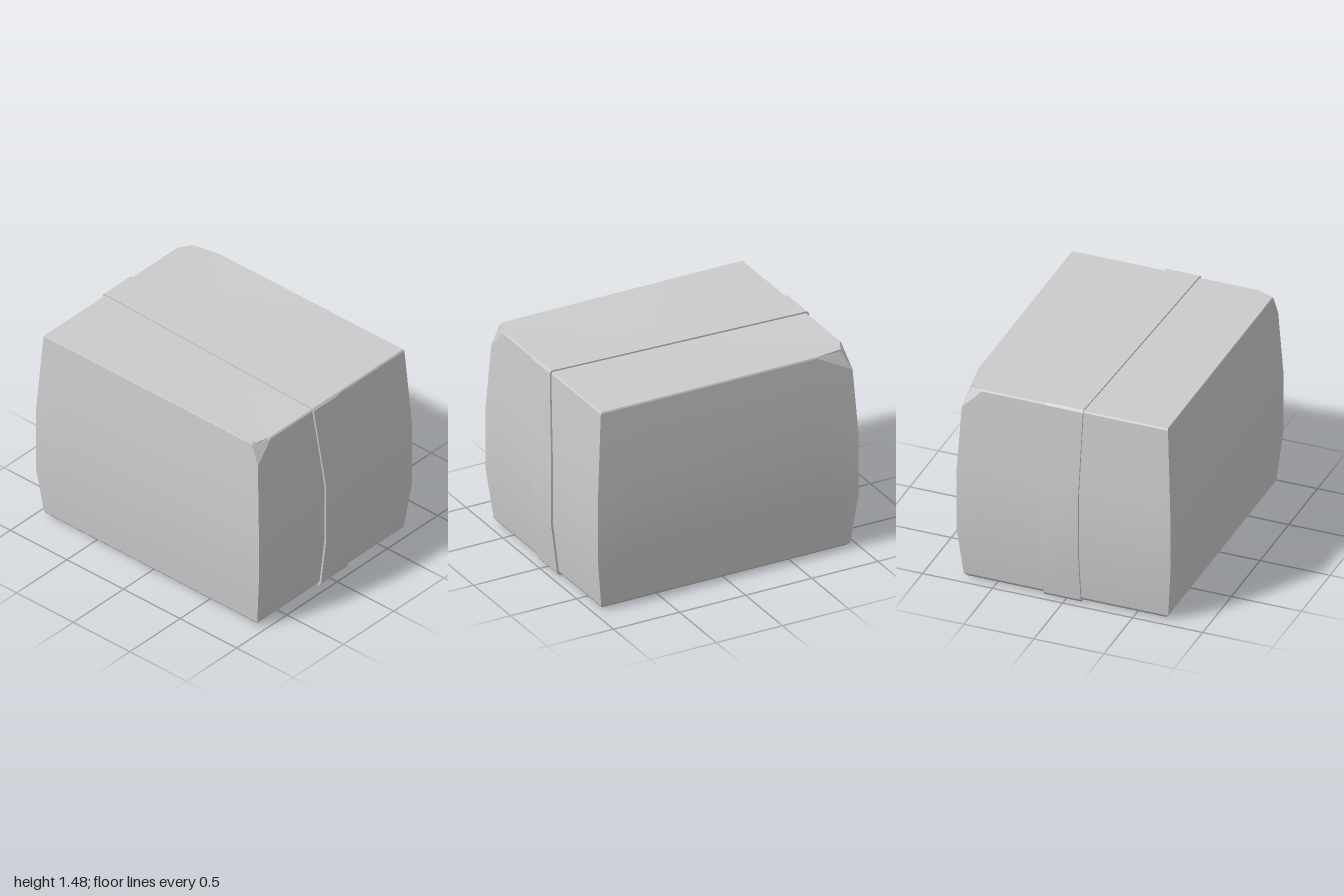
import * as THREE from 'three';
import { toCreasedNormals } from 'three/addons/utils/BufferGeometryUtils.js';

const mat = new THREE.MeshStandardMaterial({ color: 0xcccccc });

// Builds a sharp-edged mesh from a list of triangle corners
function meshFromTriangles(name, points) {
  const geo = new THREE.BufferGeometry();
  geo.setAttribute('position', new THREE.Float32BufferAttribute(points.flat(), 3));
  const mesh = new THREE.Mesh(toCreasedNormals(geo, 0.25), mat);
  mesh.name = name;
  return mesh;
}

// Bulging box with two crushed top corners
function buildBox() {
  // Levels: y, half width, half depth
  const levels = [
    [0.012, 0.71, 0.925], [0.035, 0.73, 0.942], [0.39, 0.763, 0.985], [0.85, 0.763, 0.985],
    [1.32, 0.738, 0.955], [1.462, 0.73, 0.945], [1.473, 0.725, 0.937],
  ];
  // Corners: x sign, z sign, distance to the crease along z, crushed corner [x, z, y drop]
  const corners = [
    [1, 1, 0.25, null], [1, -1, 0.25, [0.69, -0.89, 0.008]],
    [-1, -1, 0.25, null], [-1, 1, 0.05, [-0.695, 0.912, 0.004]],
  ];
  const rings = levels.map(([y, hx, hz], level) => corners.flatMap(([sx, sz, dz, dent], k) => {
    const alongX = [sx * (hx - 0.13), y, sz * hz];
    const alongZ = [sx * hx, y, sz * (hz - dz)];
    const tip = dent && level >= 5 ? [dent[0], y - dent[2], dent[1]] : [sx * hx, y, sz * hz];
    return k % 2 ? [alongZ, tip, alongX] : [alongX, tip, alongZ];
  }));
  const tris = [];
  for (let r = 0; r < rings.length - 1; r++) {
    const lo = rings[r], hi = rings[r + 1];
    for (let i = 0; i < 12; i++) {
      const j = (i + 1) % 12;
      // The diagonal follows the crease beside a crushed corner
      if (i === 3 || i === 9) tris.push(lo[i], lo[j], hi[i], lo[j], hi[j], hi[i]);
      else tris.push(lo[i], lo[j], hi[j], lo[i], hi[j], hi[i]);
    }
  }
  // Bottom and top caps
  const bottom = rings[0], top = rings[rings.length - 1];
  for (let i = 0; i < 12; i++) {
    const j = (i + 1) % 12;
    tris.push([0, 0.012, 0], bottom[j], bottom[i], [0, 1.473, 0], top[i], top[j]);
  }
  return meshFromTriangles('box', tris);
}

// Skewed tape strip wrapped around the box
function buildTape() {
  // Loop stations: z, y, left edge x, right edge x
  const path = [
    [0.935, 0, -0.11, 0.155], [0.955, 0.024, -0.11, 0.155], [1, 0.39, -0.11, 0.155],
    [1, 0.83, -0.11, 0.155], [0.958, 1.468, -0.185, 0.06], [0.945, 1.484, -0.185, 0.06],
    [-0.945, 1.484, -0.127, 0.137], [-0.958, 1.468, -0.127, 0.137], [-1, 0.83, -0.11, 0.155],
    [-1, 0.39, -0.11, 0.155], [-0.955, 0.024, -0.11, 0.155], [-0.935, 0, -0.11, 0.155],
  ];
  const sections = path.map(([z, y, x0, x1]) => {
    const zi = z * 0.97, yi = 0.74 + (y - 0.74) * 0.965;
    return [[x0, yi, zi], [x0, y, z], [x1, y, z], [x1, yi, zi]];
  });
  const tris = [];
  sections.forEach((a, i) => {
    const b = sections[(i + 1) % sections.length];
    for (let k = 0; k < 3; k++) tris.push(a[k], a[k + 1], b[k + 1], a[k], b[k + 1], b[k]);
  });
  return meshFromTriangles('tape', tris);
}

export function createModel() {
  const group = new THREE.Group();
  group.name = 'parcel';
  group.add(buildBox(), buildTape());
  return group;
}
